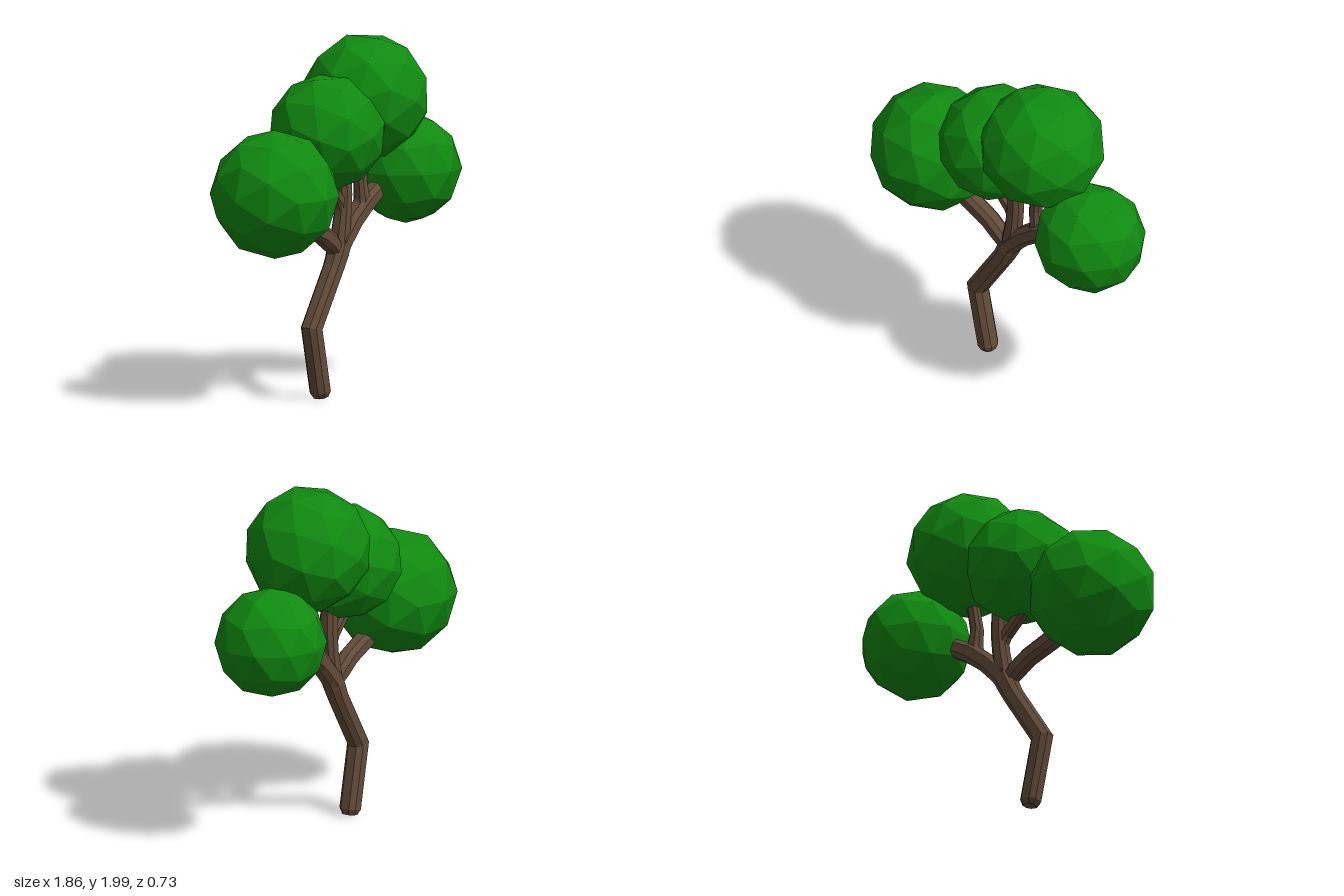
import * as THREE from 'three';

const bark = new THREE.MeshStandardMaterial({ color: 0x624b39, flatShading: true });
bark.name = 'bark brown';
const leaf = new THREE.MeshStandardMaterial({ color: 0x108a10, flatShading: true });
leaf.name = 'leaf green';

// Chamfered-square section: [across, depth], as factors of the half width
const SECTION = [[1, -0.5], [1, 0.5], [0.5, 1], [-0.5, 1], [-1, 0.5], [-1, -0.5], [-0.5, -1], [0.5, -1]];

// Sweeps the section along points [x, y, halfWidth] in the z = 0 plane, with mitred joints
function limb(name, points) {
  const pos = [], index = [], n = SECTION.length, last = points.length - 1;
  const dir = (a, b) => new THREE.Vector2(b[0] - a[0], b[1] - a[1]).normalize();
  points.forEach((p, i) => {
    const before = dir(points[Math.max(i - 1, 0)], points[Math.max(i, 1)]);
    const after = dir(points[Math.min(i, last - 1)], points[Math.min(i + 1, last)]);
    const t = before.clone().add(after).normalize();
    const mitre = p[2] / Math.max(t.dot(before), 0.6);
    for (const [a, d] of SECTION) pos.push(p[0] + t.y * a * mitre, p[1] - t.x * a * mitre, d * p[2]);
  });
  for (let i = 0; i < last; i++) {
    for (let j = 0; j < n; j++) {
      const a = i * n + j, b = i * n + (j + 1) % n;
      index.push(a, a + n, b, b, a + n, b + n);
    }
  }
  // End caps
  for (let j = 1; j < n - 1; j++) {
    index.push(0, j, j + 1);
    index.push(last * n, last * n + j + 1, last * n + j);
  }
  const g = new THREE.BufferGeometry();
  g.setAttribute('position', new THREE.Float32BufferAttribute(pos, 3));
  g.setIndex(index);
  g.computeVertexNormals();
  const mesh = new THREE.Mesh(g, bark);
  mesh.name = name;
  return mesh;
}

// Faceted ball of leaves, turned about z by an angle in degrees
function foliage(name, x, y, radius, angle) {
  const mesh = new THREE.Mesh(new THREE.IcosahedronGeometry(radius, 1), leaf);
  mesh.position.set(x, y, 0);
  mesh.rotation.z = THREE.MathUtils.degToRad(angle);
  mesh.name = name;
  return mesh;
}

export function createModel() {
  const tree = new THREE.Group();
  tree.name = 'tree';

  const wood = new THREE.Group();
  wood.name = 'trunkAndBranches';
  wood.add(
    limb('trunk', [[-0.147, 0.003, 0.038], [-0.152, 0.035, 0.054], [-0.23, 0.4, 0.054],
      [-0.03, 0.72, 0.054], [0.01, 0.8, 0.058], [0.04, 0.87, 0.05]]),
    limb('rightBranch', [[0.0, 0.81, 0.04], [-0.06, 0.865, 0.05], [-0.14, 0.92, 0.05], [-0.3, 0.985, 0.052], [-0.42, 1.05, 0.05]]),
    limb('middleBranch', [[-0.01, 0.76, 0.04], [0.03, 0.87, 0.05], [0.05, 1.0, 0.045], [0.06, 1.12, 0.045], [0.055, 1.33, 0.042]]),
    limb('middleTwig', [[0.05, 1.03, 0.034], [0.02, 1.09, 0.034], [-0.04, 1.15, 0.034], [-0.13, 1.24, 0.034]]),
    limb('leftBranch', [[-0.02, 0.75, 0.05], [0.05, 0.86, 0.055], [0.14, 0.955, 0.054], [0.25, 1.045, 0.056], [0.42, 1.14, 0.046]]),
    limb('leftTwig', [[0.2, 0.99, 0.04], [0.23, 1.07, 0.043], [0.215, 1.18, 0.034], [0.25, 1.38, 0.032]]),
  );
  tree.add(wood);

  const crown = new THREE.Group();
  crown.name = 'crown';
  crown.add(
    foliage('rightFoliage', -0.57, 1.2, 0.363, 90),
    foliage('innerFoliage', -0.09, 1.49, 0.329, 111),
    foliage('topFoliage', 0.265, 1.65, 0.356, 63.5),
    foliage('leftFoliage', 0.632, 1.2, 0.314, 148),
  );
  tree.add(crown);
  return tree;
}
